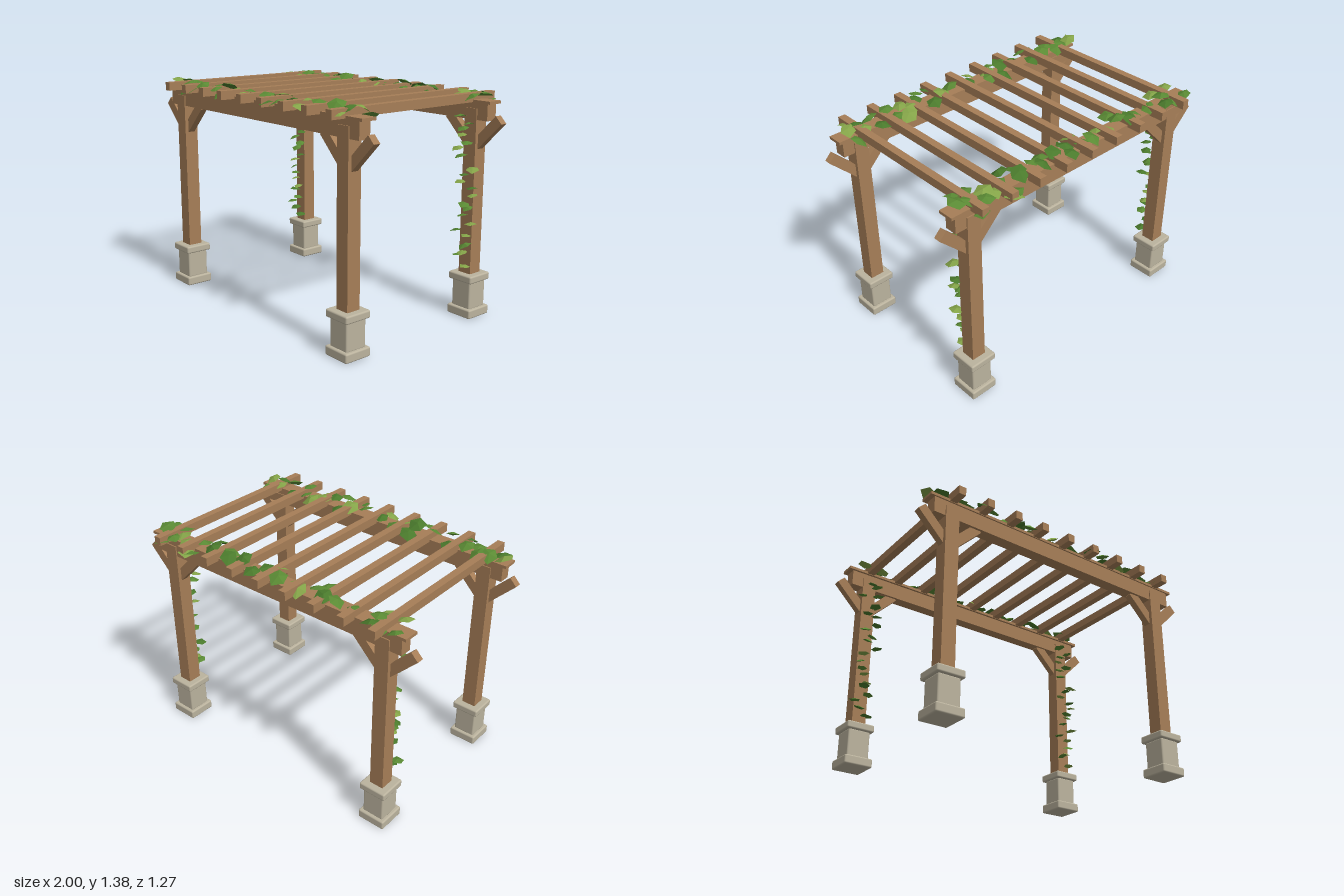
import * as THREE from 'three';
import { RoundedBoxGeometry } from 'three/addons/geometries/RoundedBoxGeometry.js';

const POST_X = 0.793, POST_Z = 0.488;

const flat = (name, color, extra = {}) => {
  const m = new THREE.MeshStandardMaterial({ color, ...extra });
  m.name = name;
  return m;
};

// Small seeded generator for leaf variation
function seeded(seed) {
  return () => {
    seed = (seed * 16807) % 2147483647;
    return seed / 2147483647;
  };
}

// Five-sided leaf, pointed along +z, domed at the middle
function leafGeometry() {
  const rim = [];
  for (let i = 0; i < 5; i++) {
    const a = (i / 5) * Math.PI * 2;
    const r = i === 0 ? 0.058 : 0.049;
    rim.push([Math.sin(a) * r, i === 0 ? -0.014 : -0.004, Math.cos(a) * r]);
  }
  const pos = [];
  rim.forEach((p, i) => pos.push(0, 0.01, 0, ...p, ...rim[(i + 1) % 5]));
  const g = new THREE.BufferGeometry();
  g.setAttribute('position', new THREE.Float32BufferAttribute(pos, 3));
  g.computeVertexNormals();
  return g;
}

// Leaf clusters on the two beams, as x, z pairs
const FRONT_LEAVES = [
  -0.91, 0.46, -0.87, 0.52, -0.82, 0.44, -0.76, 0.42, -0.73, 0.49, -0.66, 0.46, -0.61, 0.58,
  -0.55, 0.44, -0.52, 0.53, -0.42, 0.5, -0.36, 0.54, -0.28, 0.41, -0.3, 0.48, -0.27, 0.56,
  -0.17, 0.42, -0.2, 0.49, -0.08, 0.53, -0.04, 0.47, 0.1, 0.49, 0.19, 0.45, 0.2, 0.58,
  0.27, 0.43, 0.3, 0.57, 0.35, 0.5, 0.41, 0.45, 0.48, 0.4, 0.45, 0.53, 0.55, 0.43,
  0.57, 0.5, 0.65, 0.43, 0.7, 0.49, 0.77, 0.43, 0.79, 0.5, 0.84, 0.39, 0.86, 0.46, 0.8, 0.57,
];
const BACK_LEAVES = [
  -0.88, -0.54, -0.78, -0.55, -0.72, -0.53, -0.85, -0.41, -0.73, -0.41, -0.74, -0.48,
  -0.58, -0.51, -0.47, -0.5, -0.4, -0.52, -0.33, -0.48, -0.34, -0.41, -0.22, -0.52,
  -0.18, -0.47, -0.08, -0.52, -0.02, -0.49, 0, -0.41, 0.06, -0.45, 0.1, -0.54,
  0.2, -0.5, 0.24, -0.44, 0.3, -0.52, 0.33, -0.47, 0.41, -0.41, 0.45, -0.5, 0.5, -0.39,
  0.55, -0.58, 0.57, -0.46, 0.58, -0.59, 0.65, -0.52, 0.7, -0.5, 0.73, -0.55,
  0.77, -0.42, 0.79, -0.59, 0.8, -0.51, 0.83, -0.41, 0.86, -0.48,
];

export function createModel() {
  const model = new THREE.Group();
  model.name = 'pergola';
  const wood = flat('wood', 0xa67e57);
  const stone = flat('stone', 0xbbb39e);
  const greens = [
    flat('mid green', 0x5a8a34, { side: THREE.DoubleSide }),
    flat('light green', 0x84a448, { side: THREE.DoubleSide }),
    flat('deep green', 0x4a7a2c, { side: THREE.DoubleSide }),
  ];

  const add = (parent, name, geometry, material, x, y, z) => {
    const mesh = new THREE.Mesh(geometry, material);
    mesh.name = name;
    mesh.position.set(x, y, z);
    parent.add(mesh);
    return mesh;
  };
  // Box given by its bottom and top heights
  const box = (parent, name, w, y0, y1, d, x = 0, z = 0) =>
    add(parent, name, new THREE.BoxGeometry(w, y1 - y0, d), wood, x, (y0 + y1) / 2, z);
  const block = (parent, name, w, y0, y1, x, z) =>
    add(parent, name, new RoundedBoxGeometry(w, y1 - y0, w, 2, 0.01), stone, x, (y0 + y1) / 2, z);

  // Posts on stone footings, with a pair of diagonal braces each
  for (const sx of [-1, 1]) for (const sz of [-1, 1]) {
    const x = sx * POST_X, z = sz * POST_Z;
    const corner = new THREE.Group();
    corner.name = 'cornerPost';
    model.add(corner);
    block(corner, 'footingBase', 0.176, 0, 0.056, x, z);
    block(corner, 'footingShaft', 0.138, 0.05, 0.225, x, z);
    block(corner, 'footingCap', 0.174, 0.22, 0.266, x, z);
    box(corner, 'post', 0.088, 0.26, 1.263, 0.088, x, z);
    for (const dir of [-1, 1]) {
      const brace = add(corner, 'brace', new THREE.BoxGeometry(0.264, 0.06, 0.044), wood,
        x + dir * 0.093, 1.117, z);
      brace.rotation.z = dir * Math.PI / 4;
    }
  }

  // Long beams with a thin plank on top
  for (const sz of [-1, 1]) {
    box(model, 'beam', 1.82, 1.197, 1.296, 0.074, 0, sz * POST_Z);
    box(model, 'beamPlank', 1.876, 1.296, 1.313, 0.097, 0, sz * 0.485);
  }

  // Rafters across the beams
  for (let i = -4; i <= 4; i++) box(model, 'rafter', 0.046, 1.299, 1.351, 1.25, i * 0.198);

  // Climbing leaves
  const rand = seeded(4711);
  const leafShape = leafGeometry();
  const spread = (amount) => (rand() - 0.5) * 2 * amount;
  const addLeaf = (parent, x, y, z, yaw, pitch, roll, size) => {
    const mesh = add(parent, 'leaf', leafShape, greens[Math.floor(rand() * 3)], x, y, z);
    mesh.rotation.set(pitch, yaw, roll, 'YXZ');
    mesh.scale.setScalar(size);
  };

  // Leaves lying over the beams, drooping away from the middle
  for (const [name, list] of [['frontBeamLeaves', FRONT_LEAVES], ['backBeamLeaves', BACK_LEAVES]]) {
    const vine = new THREE.Group();
    vine.name = name;
    model.add(vine);
    for (let i = 0; i < list.length; i += 2) {
      const x = list[i], z = list[i + 1];
      const off = z - Math.sign(z) * POST_Z;
      const yaw = (off < 0 ? Math.PI : 0) + spread(1.2);
      const y = 1.352 - Math.abs(off) * 0.3 + spread(0.015);
      addLeaf(vine, x, y, z, yaw, 0.2 + spread(0.28), spread(0.3), 0.85 + rand() * 0.3);
    }
  }

  // Leaves climbing the inner faces of the back posts
  for (const sx of [-1, 1]) {
    const vine = new THREE.Group();
    vine.name = 'postLeaves';
    model.add(vine);
    for (let i = 0; i < 22; i++) {
      const off = spread(0.062);
      addLeaf(vine, sx * POST_X + off, 0.33 + i * 0.043 + spread(0.015), -0.412 + spread(0.012),
        off * 8 + spread(0.3), 0.05 + spread(0.3), spread(0.25), 0.6 + rand() * 0.25);
    }
  }
  return model;
}
